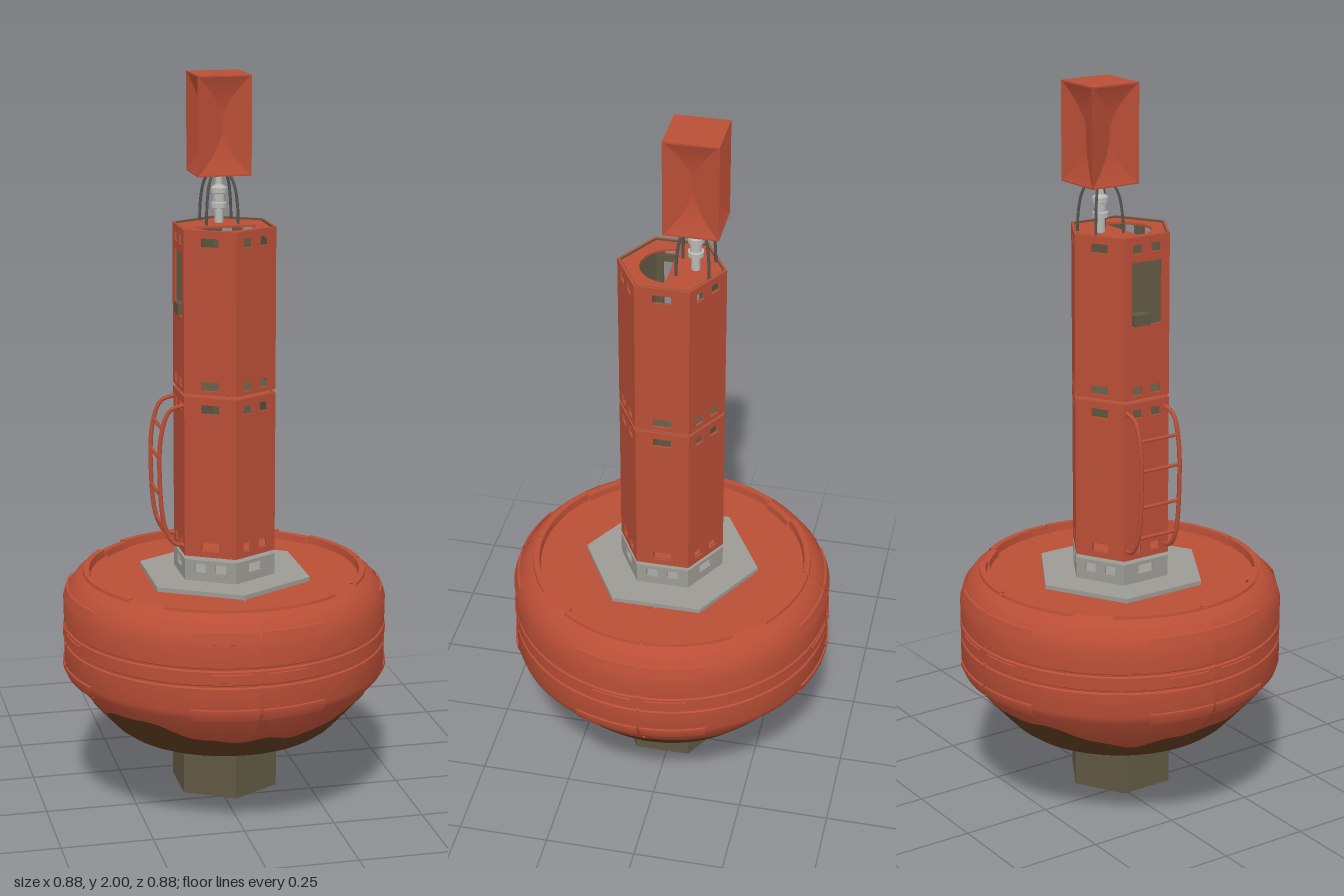
import * as THREE from 'three';
import { toCreasedNormals } from 'three/addons/utils/BufferGeometryUtils.js';

const mat = (name, color, side = THREE.FrontSide) =>
  Object.assign(new THREE.MeshStandardMaterial({ color, side }), { name });

export function createModel() {
  const red = mat('buoy red', 0xb94e36);
  const redOpen = mat('buoy red sheet', 0xb94e36, THREE.DoubleSide);
  const grey = mat('plate grey', 0x9c9a94);
  const olive = mat('weathered olive', 0x5f5743);
  const brown = mat('growth brown', 0x5c3a1e, THREE.DoubleSide);
  const dark = mat('wire grey', 0x555450);
  const pale = mat('lantern grey', 0xb8b8b4);

  const root = new THREE.Group();
  const add = (name, geo, material, x = 0, y = 0, z = 0, parent = root) => {
    const m = new THREE.Mesh(geo, material);
    m.name = name;
    m.position.set(x, y, z);
    parent.add(m);
    return m;
  };
  const v2 = (pts) => pts.map(([x, y]) => new THREE.Vector2(x, y));
  const lathe = (pts, seg, start = 0, len = Math.PI * 2) =>
    toCreasedNormals(new THREE.LatheGeometry(v2(pts), seg, start, len), 0.45);
  const hex = (r, y0, y1) =>
    toCreasedNormals(new THREE.CylinderGeometry(r, r, y1 - y0, 6).translate(0, (y0 + y1) / 2, 0), 0.3);
  const rad = THREE.MathUtils.degToRad;

  // Float: four quarter shells with seams, over a slightly smaller core
  const profile = [[0, 0.236], [0.285, 0.236], [0.305, 0.25], [0.335, 0.283], [0.432, 0.392], [0.438, 0.41],
    [0.438, 0.476], [0.434, 0.479], [0.434, 0.484], [0.438, 0.487], [0.438, 0.522], [0.434, 0.525],
    [0.434, 0.53], [0.438, 0.533], [0.438, 0.585], [0.428, 0.62], [0.405, 0.65], [0.385, 0.664],
    [0.375, 0.667], [0.371, 0.652], [0, 0.652]];
  const core = profile.map(([r, y]) => [Math.max(0, r - 0.007), 0.45 + (y - 0.45) * 0.975]);
  add('floatCore', lathe(core, 64), red);
  const gap = 0.009;
  for (let q = 0; q < 4; q++) {
    const a = q * Math.PI / 2;
    add('floatQuarter', lathe(profile, 18, a + gap, Math.PI / 2 - 2 * gap), redOpen);
    // Raised pads, centre bars and rim pieces, kept clear of each seam
    for (const s of [-1, 1]) {
      const arc = (name, pts, from, to) => {
        const start = s > 0 ? a + rad(from) : a - rad(to);
        add(name, lathe(pts, 8, start, rad(to - from)), redOpen);
      };
      arc('upperPad', [[0.434, 0.594], [0.439, 0.596], [0.430, 0.626], [0.424, 0.628]], 0.6, 24);
      arc('lowerPad', [[0.425, 0.386], [0.432, 0.386], [0.442, 0.408], [0.442, 0.418], [0.436, 0.42]], 0.6, 24);
      arc('centreBar', [[0.436, 0.492], [0.441, 0.494], [0.441, 0.515], [0.436, 0.517]], 2.5, 17);
      arc('rimStrip', [[0.385, 0.662], [0.383, 0.672], [0.367, 0.672], [0.364, 0.65]], 0.6, 37);
      arc('rimCorner', [[0.385, 0.662], [0.376, 0.67], [0.358, 0.67], [0.355, 0.65]], 37, 45);
    }
  }

  // Marine growth with a wavy upper edge around the lower slope
  const growth = new THREE.LatheGeometry(v2([[0.18, 0.2335], [0.287, 0.2335], [0.308, 0.249], [0.338, 0.282], [0.4, 0.35]]), 120);
  const p = growth.attributes.position;
  for (let i = 0; i < p.count; i++) {
    if (i % 5 < 3) continue;
    const a = Math.atan2(p.getX(i), p.getZ(i));
    const top = 0.318 + 0.026 * Math.sin(3 * a - 1.9) + 0.011 * Math.sin(7 * a + 1) + 0.005 * Math.sin(16 * a);
    const y = i % 5 === 4 ? top : Math.min(0.282, top - 0.004);
    const r = 0.308 + (y - 0.249) * (y < 0.283 ? 0.9 : 0.89) + 0.001;
    p.setXYZ(i, Math.sin(a) * r, y, Math.cos(a) * r);
  }
  growth.computeVertexNormals();
  add('marineGrowth', growth, brown);

  // Deck plate, keel plate, keel block and mooring eye
  add('deckPlate', hex(0.242, 0.645, 0.664), grey);
  add('keelPlate', hex(0.242, 0.228, 0.24), olive);
  add('keelBlock', hex(0.15, 0.053, 0.24), olive);
  const eye = new THREE.TorusGeometry(0.026, 0.008, 10, 24);
  add('mooringEye', eye, olive, 0, 0.034, 0);

  // Hexagonal slotted tower: each wall is a thin panel with cut-outs
  const R = 0.143, apothem = R * Math.cos(Math.PI / 6);
  const rect = (Cls, x, y, w, h) => new Cls(v2([
    [x - w / 2, y - h / 2], [x + w / 2, y - h / 2], [x + w / 2, y + h / 2], [x - w / 2, y + h / 2]]));
  const tower = (name, y0, y1, rows, material, phase, lining, opening) => {
    const g = new THREE.Group();
    g.name = name;
    root.add(g);
    for (let k = 0; k < 6; k++) {
      const panel = (label, w, depth, inset, m) => {
        const shape = rect(THREE.Shape, 0, (y0 + y1) / 2, w, y1 - y0);
        for (const y of rows) {
          const slots = (k + phase) % 2 ? [[0, 0.048]] : [[-0.029, 0.03], [0.029, 0.03]];
          for (const [x, sw] of slots) shape.holes.push(rect(THREE.Path, x, y, sw, 0.024));
        }
        if (opening && k === 4) shape.holes.push(rect(THREE.Path, 0, 1.46, 0.095, 0.17));
        const geo = new THREE.ExtrudeGeometry(shape, { depth, bevelEnabled: false });
        geo.translate(0, 0, apothem - inset - depth);
        add(label, geo, m, 0, 0, 0, g).rotation.y = rad(30 + 60 * k);
      };
      panel('wall', R, 0.006, 0, material);
      panel('wallLining', R - 0.008, 0.002, 0.006, lining);
    }
  };
  tower('collar', 0.664, 0.722, [0.7], grey, 1, grey, false);
  tower('lowerTower', 0.732, 1.168, [0.76, 1.137], red, 0, olive, false);
  tower('upperTower', 1.177, 1.612, [1.2, 1.58], red, 0, olive, true);
  add('collarLid', hex(0.136, 0.716, 0.721), grey);
  for (const y of [0.733, 1.162]) add('lowerTowerCap', hex(0.136, y, y + 0.005), red);
  add('upperTowerFloor', hex(0.136, 1.178, 1.184), olive);
  for (const [a, b] of [[0.72, 0.734], [1.166, 1.179]])
    add('spacer', new THREE.CylinderGeometry(0.04, 0.04, b - a, 20), red, 0, (a + b) / 2, 0);

  // Tower top with a half-round hatch
  const corners = [0, 1, 2, 3, 4, 5].map((i) => [Math.sin(rad(60 * i)) * 0.136, Math.cos(rad(60 * i)) * 0.136]);
  const lid = new THREE.Shape(v2(corners));
  const hatch = new THREE.Path();
  hatch.absarc(0, 0, 0.083, Math.PI, Math.PI * 2, false);
  lid.holes.push(hatch);
  const lidGeo = new THREE.ExtrudeGeometry(lid, { depth: 0.006, bevelEnabled: false, curveSegments: 20 });
  add('towerTop', lidGeo.rotateX(-Math.PI / 2), red, 0, 1.601, 0);

  // Small instrument in the side opening
  add('instrument', new THREE.BoxGeometry(0.03, 0.03, 0.05), olive, -0.112, 1.39, -0.015);

  // Ladder on the side
  const ladder = new THREE.Group();
  ladder.name = 'ladder';
  root.add(ladder);
  const rail = [[-0.12, 0.757], [-0.15, 0.765], [-0.175, 0.81], [-0.189, 0.95], [-0.183, 1.07], [-0.16, 1.13], [-0.12, 1.144]];
  for (const z of [-0.061, 0.061]) {
    const curve = new THREE.CatmullRomCurve3(rail.map(([x, y]) => new THREE.Vector3(x, y, z)));
    add('rail', new THREE.TubeGeometry(curve, 36, 0.006, 8), red, 0, 0, 0, ladder);
  }
  for (const [x, y] of [[-0.175, 0.81], [-0.187, 0.9], [-0.188, 1.0], [-0.18, 1.08]])
    add('rung', new THREE.CylinderGeometry(0.005, 0.005, 0.122, 8).rotateX(Math.PI / 2), red, x, y, 0, ladder);

  // Lantern and its bowed wire cage
  const hz = -0.062;
  const lantern = [[0, 1.6], [0.012, 1.6], [0.012, 1.645], [0.021, 1.647], [0.021, 1.66], [0.015, 1.662],
    [0.015, 1.685], [0.021, 1.687], [0.021, 1.7], [0.01, 1.708], [0.006, 1.742], [0, 1.742]];
  add('lantern', lathe(lantern, 18), pale, 0, 0, hz);
  for (const sx of [-1, 1]) for (const sz of [-1, 1]) {
    const pts = [[0.043, 1.604], [0.041, 1.66], [0.034, 1.71], [0.02, 1.745]]
      .map(([d, y]) => new THREE.Vector3(sx * d, y, hz + sz * d));
    add('cageWire', new THREE.TubeGeometry(new THREE.CatmullRomCurve3(pts), 14, 0.004, 6), dark);
  }

  // Top mark: box whose four sides dish inwards in an hourglass pattern
  const w = 0.072, h = 0.131, cy = 1.869, dish = 0.028, rows = 20;
  const pos = [], idx = [];
  for (let i = 0; i <= rows; i++) {
    const v = (i / rows) * 2 - 1, c = Math.abs(v) ** 1.9, d = dish * (1 - c);
    pos.push(-w, v * h, w, -w * c, v * h, w - d, w * c, v * h, w - d, w, v * h, w);
    for (let j = 0; j < 3 && i < rows; j++) {
      const a = i * 4 + j;
      idx.push(a, a + 1, a + 5, a, a + 5, a + 4);
    }
  }
  const side = new THREE.BufferGeometry();
  side.setAttribute('position', new THREE.Float32BufferAttribute(pos, 3));
  side.setIndex(idx);
  const sideGeo = toCreasedNormals(side, 0.25);
  for (let k = 0; k < 4; k++) add('topMarkSide', sideGeo, redOpen, 0, cy, hz).rotation.y = k * Math.PI / 2;
  for (const s of [-1, 1]) add('topMarkCap', new THREE.BoxGeometry(w * 2, 0.004, w * 2), red, 0, cy + s * (h - 0.002), hz);

  return root;
}
